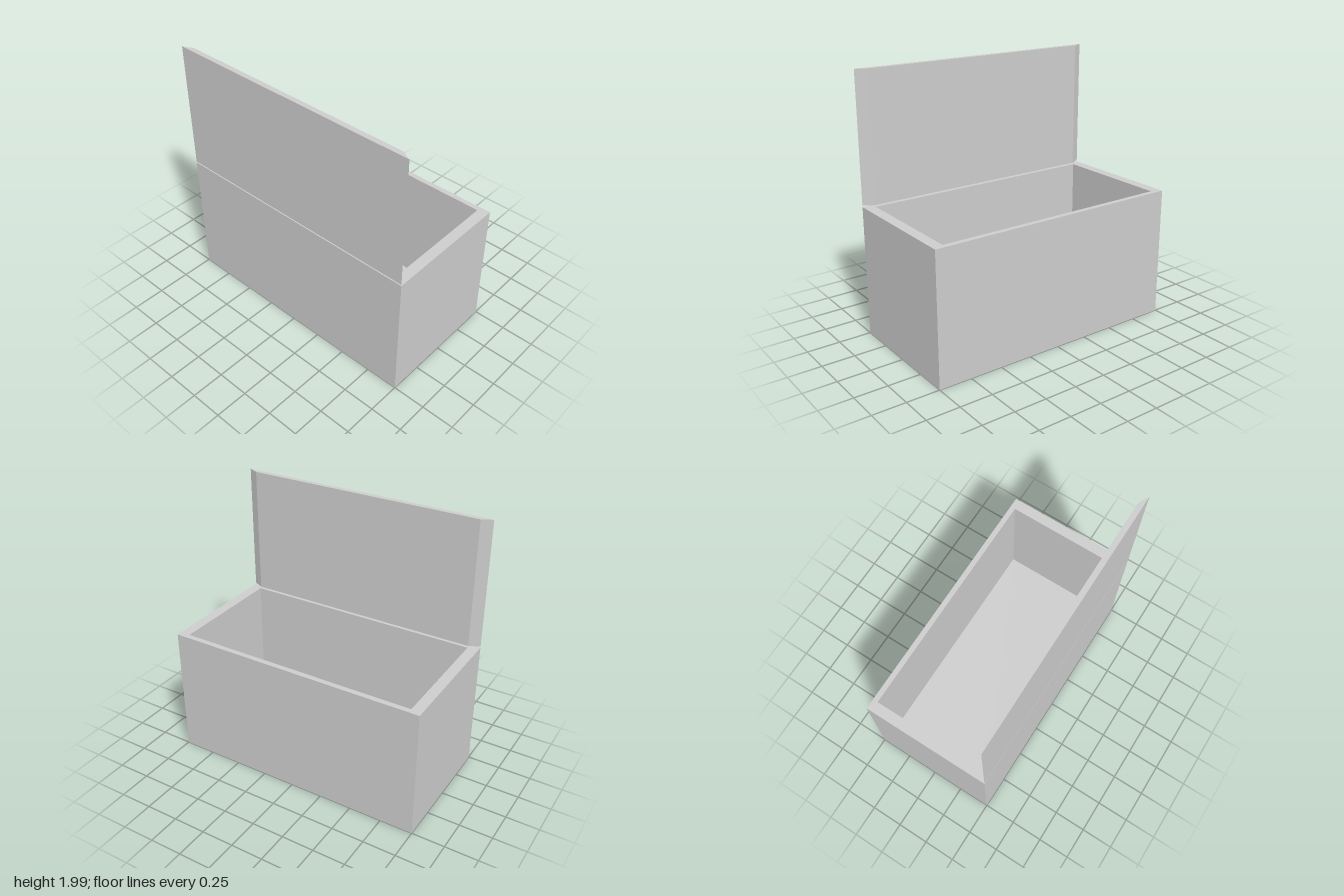
import * as THREE from 'three';

const grey = new THREE.MeshStandardMaterial({ color: 0xcccccc });
grey.name = 'plainGrey';

// Extrudes an outline of [x, z] points upward from y0 to y1
function prism(name, outline, y0, y1, hole) {
  const toPoints = (list) => list.map(([x, z]) => new THREE.Vector2(x, -z));
  const shape = new THREE.Shape(toPoints(outline));
  if (hole) shape.holes.push(new THREE.Path(toPoints(hole)));
  const geometry = new THREE.ExtrudeGeometry(shape, { depth: y1 - y0, bevelEnabled: false });
  geometry.rotateX(-Math.PI / 2);
  geometry.translate(0, y0, 0);
  const mesh = new THREE.Mesh(geometry, grey);
  mesh.name = name;
  return mesh;
}

const rectangle = (halfWidth, back, front) => [
  [-halfWidth, front], [halfWidth, front], [halfWidth, back], [-halfWidth, back],
];

export function createModel() {
  const model = new THREE.Group();
  model.name = 'openChest';

  // Hollow body: four walls around a floor
  const inner = rectangle(0.92, -0.46, 0.45);
  model.add(prism('walls', rectangle(1, -0.5, 0.5), 0, 1, inner));
  model.add(prism('floor', inner, 0, 0.08));

  // Upright lid above the front edge, its ends sloping in toward the back
  const lidOutline = [[-1, 0.5], [1, 0.5], [0.92, 0.46], [-0.92, 0.46]];
  model.add(prism('lid', lidOutline, 1.01, 1.99));

  return model;
}
